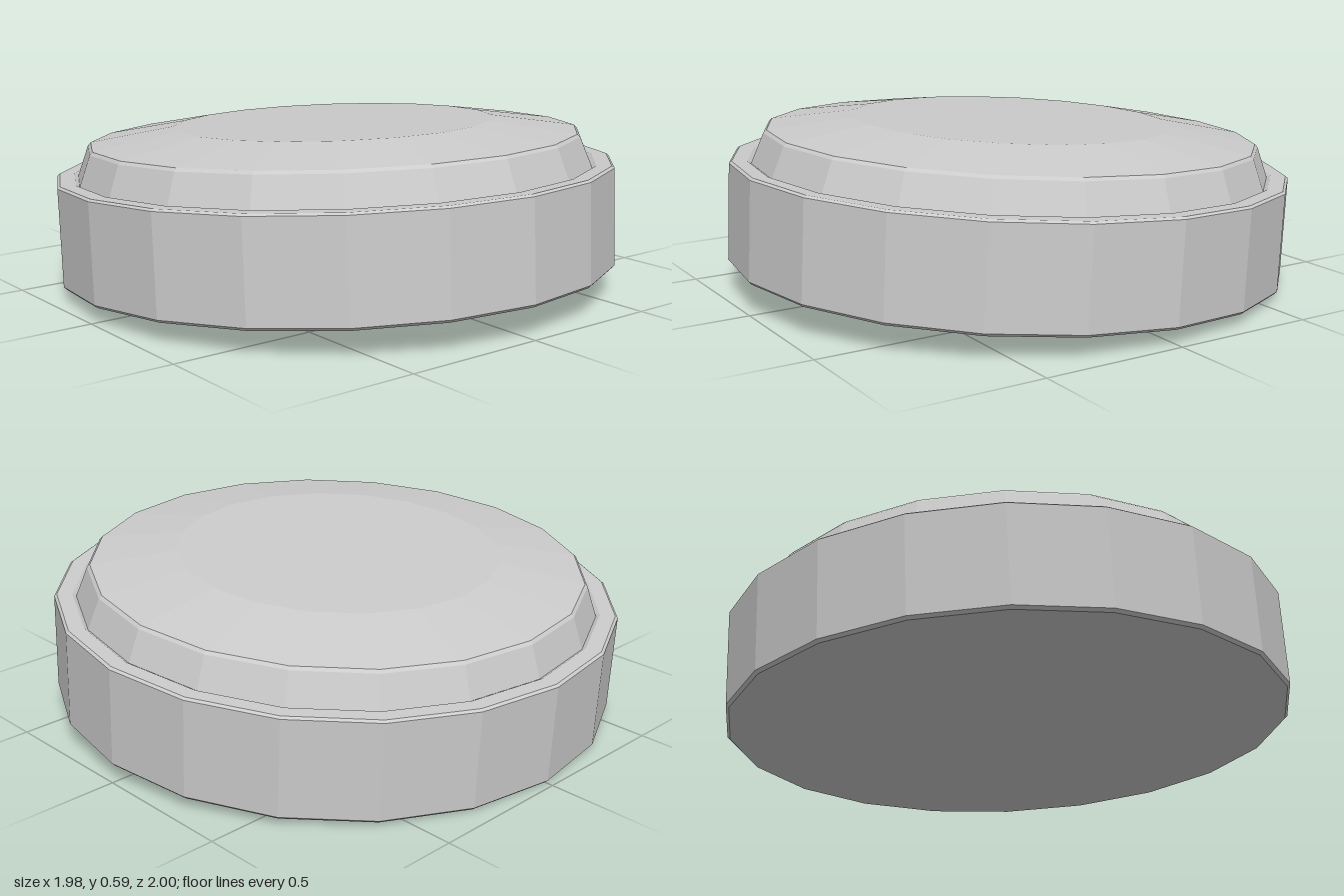
import * as THREE from 'three';

const SIDES = 20;
const TILT = 0.053;

export function createModel() {
  const model = new THREE.Group();
  const button = new THREE.Group();
  button.name = 'tiltedButton';
  const material = new THREE.MeshStandardMaterial({ color: 0xcccccc, flatShading: true });

  // Revolve a [radius, height] profile into a faceted part
  const addLathe = (name, profile) => {
    const points = profile.map(([r, y]) => new THREE.Vector2(r, y));
    const mesh = new THREE.Mesh(new THREE.LatheGeometry(points, SIDES), material);
    mesh.name = name;
    button.add(mesh);
  };

  // Drum with bevelled bottom, top rim and ledge
  addLathe('base', [
    [0, 0], [0.98, 0], [0.99, 0.01], [0.99, 0.348],
    [0.981, 0.355], [0.928, 0.355], [0.915, 0.347],
  ]);

  // Raised cap: sloping wall, fine shoulder bevel, shallow cone and flat top
  addLathe('cap', [
    [0.915, 0.347], [0.875, 0.453], [0.865, 0.463], [0.567, 0.51], [0, 0.51],
  ]);

  // The whole piece leans backward, front edge raised
  button.rotation.x = -TILT;
  button.position.set(0, 0.98 * Math.sin(TILT), 0.009);
  model.add(button);
  return model;
}
